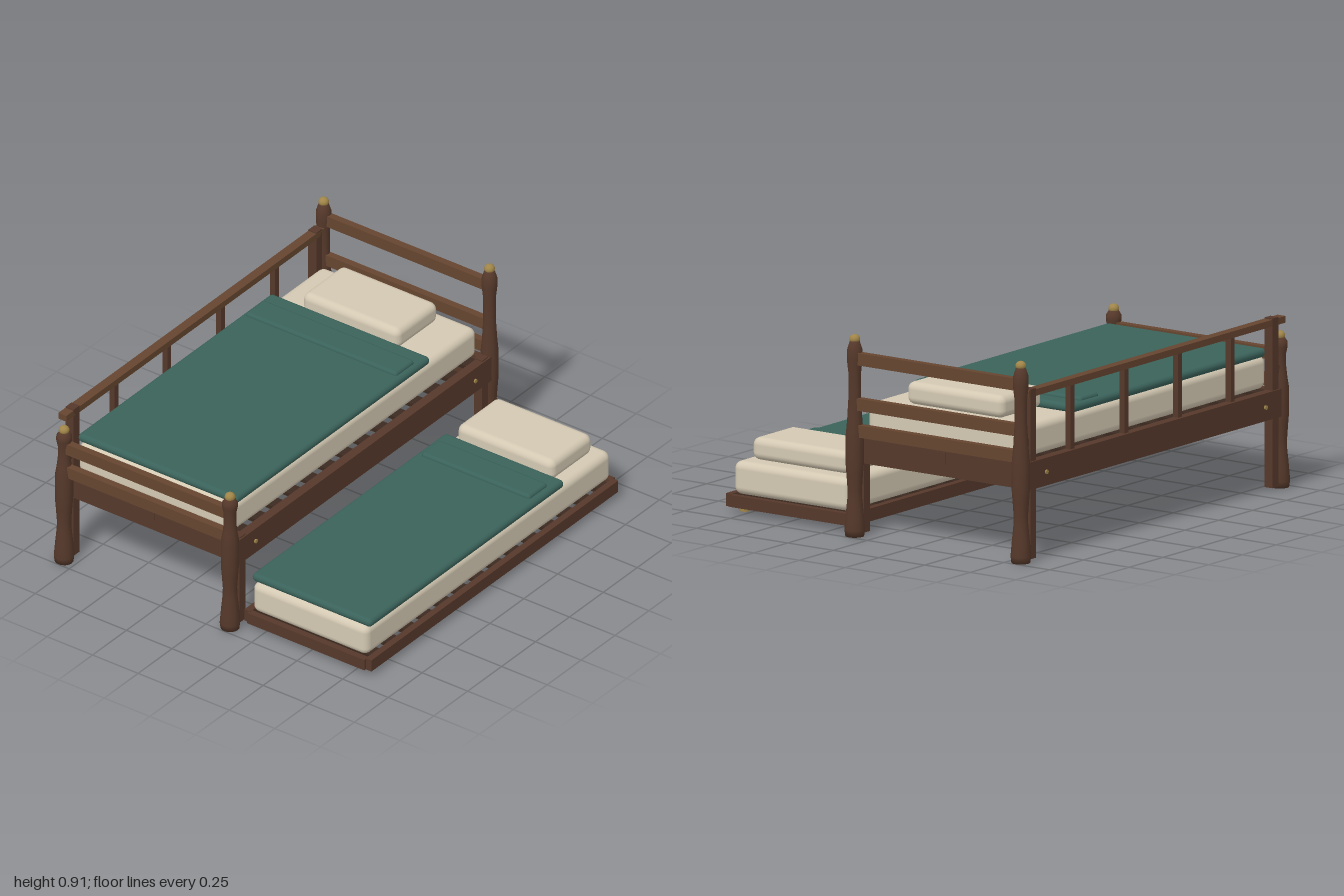
import * as THREE from 'three';
import { RoundedBoxGeometry } from 'three/addons/geometries/RoundedBoxGeometry.js';

const mat = (color) => new THREE.MeshStandardMaterial({ color });
const WOOD = mat(0x55382a), RAIL = mat(0x65452f), SLAT = mat(0x3c2a20);
const CREAM = mat(0xd3c8b2), GREEN = mat(0x3a625a), BRASS = mat(0xa08548);

function add(parent, name, geometry, material, x, y, z) {
  const mesh = new THREE.Mesh(geometry, material);
  mesh.name = name;
  mesh.position.set(x, y, z);
  parent.add(mesh);
  return mesh;
}

// Box given by its [min, max] range on each axis; r rounds the edges
function block(parent, name, material, [x0, x1], [y0, y1], [z0, z1], r = 0) {
  const w = x1 - x0, h = y1 - y0, d = z1 - z0;
  const geo = r ? new RoundedBoxGeometry(w, h, d, 4, r) : new THREE.BoxGeometry(w, h, d);
  return add(parent, name, geo, material, (x0 + x1) / 2, (y0 + y1) / 2, (z0 + z1) / 2);
}

// Turned bed post with a brass finial; the part above the rails scales with height
function bedPost(parent, name, x, z, height) {
  const top = height - 0.03, up = (t) => 0.46 + (top - 0.46) * t;
  const profile = [
    [0, 0], [0.042, 0], [0.046, 0.03], [0.041, 0.09], [0.033, 0.17], [0.032, 0.21], [0.037, 0.28],
    [0.041, 0.33], [0.041, 0.45], [0.034, up(0.15)], [0.028, up(0.4)], [0.028, up(0.65)],
    [0.035, up(0.8)], [0.035, up(0.9)], [0.022, up(1)], [0, up(1)],
  ].map(([r, y]) => new THREE.Vector2(r, y));
  add(parent, name, new THREE.LatheGeometry(profile, 16), WOOD, x, 0, z);
  const finial = add(parent, 'finial', new THREE.SphereGeometry(0.024, 16, 10), BRASS, x, top + 0.008, z);
  finial.scale.y = 0.9;
}

// Evenly spaced slats across the frame
function slats(parent, xr, yr, reach, count) {
  for (let i = 0; i < count; i++) {
    const z = -reach + (2 * reach * i) / (count - 1);
    block(parent, 'slat', SLAT, xr, yr, [z - 0.035, z + 0.035]);
  }
}

// Mattress, blanket with folded edge, and pillow; y is the mattress base
function bedding(parent, mattressX, blanketX, foldX, pillowX, y) {
  block(parent, 'mattress', CREAM, mattressX, [y, y + 0.15], [-0.905, 0.905], 0.035);
  block(parent, 'blanket', GREEN, blanketX, [y + 0.146, y + 0.187], [-0.545, 0.89], 0.02);
  block(parent, 'blanketFold', GREEN, foldX, [y + 0.172, y + 0.203], [-0.46, -0.322], 0.015);
  block(parent, 'pillow', CREAM, pillowX, [y + 0.15, y + 0.252], [-0.84, -0.535], 0.034);
}

function mainBed() {
  const bed = new THREE.Group();
  bed.name = 'mainBed';
  const left = 0.1, right = -0.81, mid = -0.355;

  for (const x of [right, left]) {
    bedPost(bed, 'footPost', x, 0.957, 0.705);
    bedPost(bed, 'headPost', x, -0.957, 0.91);
    // Side rail, inner legs and bolts
    const out = Math.sign(x - mid);
    block(bed, 'sideRail', WOOD, [x - 0.022 + out * 0.008, x + 0.022 + out * 0.008], [0.325, 0.45], [-0.93, 0.93]);
    for (const s of [-1, 1]) {
      block(bed, 'innerLeg', WOOD, [x - 0.022, x + 0.022], [0.01, x === right ? 0.775 : 0.455],
        [s * 0.895 - 0.022, s * 0.895 + 0.022]);
      const bolt = add(bed, 'bolt', new THREE.CylinderGeometry(0.01, 0.01, 0.012, 12), BRASS,
        x + out * 0.031, 0.387, s * 0.81);
      bolt.rotation.z = Math.PI / 2;
    }
  }

  // Headboard and footboard
  for (const s of [-1, 1]) {
    block(bed, 'endBeam', WOOD, [right, left], [0.325, 0.45], [s * 0.912 - 0.018, s * 0.912 + 0.018]);
    const rails = [[0.45, 0.505], [0.57, 0.625]];
    if (s < 0) rails.push([0.775, 0.83]);
    for (const y of rails) {
      block(bed, 'endRail', RAIL, [right, left], y, [s * 0.957 - 0.017, s * 0.957 + 0.017]);
    }
    block(bed, 'guardBracket', WOOD, [right - 0.015, right + 0.015], [0.52, 0.555], [s * 0.93 - 0.03, s * 0.93 + 0.03]);
  }

  // Guard rail on the far side
  block(bed, 'guardRail', RAIL, [right - 0.022, right + 0.022], [0.74, 0.77], [-0.93, 0.97]);
  for (const z of [-0.595, -0.195, 0.2, 0.59]) {
    block(bed, 'guardSpindle', WOOD, [right - 0.014, right + 0.014], [0.44, 0.745], [z - 0.014, z + 0.014]);
  }

  // Mattress support
  block(bed, 'centreBeam', WOOD, [mid - 0.022, mid + 0.022], [0.38, 0.432], [-0.934, 0.934]);
  slats(bed, [right, left], [0.43, 0.448], 0.84, 14);
  bedding(bed, [-0.78, 0.075], [-0.79, 0.085], [-0.77, 0.06], [-0.62, -0.09], 0.448);
  return bed;
}

function trundleBed() {
  const bed = new THREE.Group();
  bed.name = 'trundleBed';
  for (const x of [0.16, 0.825]) {
    block(bed, 'trundleSideRail', WOOD, [x - 0.016, x + 0.016], [0.028, 0.086], [-0.91, 0.91]);
  }
  for (const s of [-1, 1]) {
    block(bed, 'trundleEndRail', WOOD, [0.17, 0.812], [0.03, 0.084], [s * 0.908 - 0.016, s * 0.908 + 0.016]);
    for (const x of [0.2, 0.79]) {
      add(bed, 'trundleFoot', new THREE.CylinderGeometry(0.022, 0.022, 0.06, 16), BRASS, x, 0.03, s * 0.838);
    }
  }
  slats(bed, [0.16, 0.825], [0.06, 0.082], 0.84, 14);
  bedding(bed, [0.177, 0.81], [0.165, 0.82], [0.195, 0.79], [0.228, 0.757], 0.085);
  return bed;
}

export function createModel() {
  const model = new THREE.Group();
  model.name = 'trundleBedSet';
  model.add(mainBed(), trundleBed());
  return model;
}
